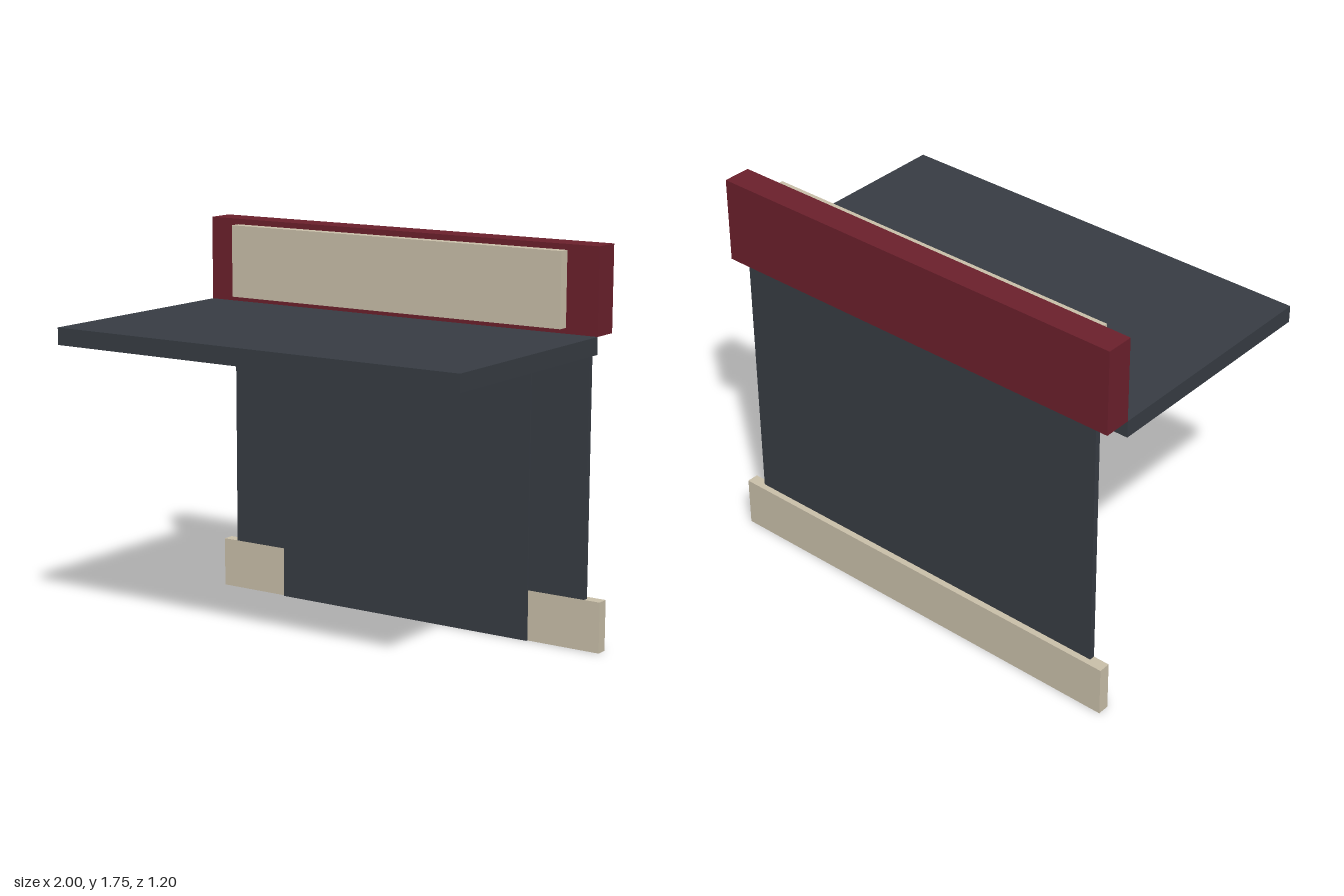
import * as THREE from 'three';

const material = (name, color) => {
  const m = new THREE.MeshStandardMaterial({ color });
  m.name = name;
  return m;
};

export function createModel() {
  const group = new THREE.Group();
  group.name = 'shopfront';

  const slate = material('dark slate', 0x373c43);
  const red = material('deep red', 0x6b202c);
  const cream = material('cream', 0xc9bfa9);

  // Box centred on x, given its half width and its y and z ranges
  const slab = (name, mat, halfWidth, y0, y1, z0, z1) => {
    const mesh = new THREE.Mesh(new THREE.BoxGeometry(halfWidth * 2, y1 - y0, z1 - z0), mat);
    mesh.position.set(0, (y0 + y1) / 2, (z0 + z1) / 2);
    mesh.name = name;
    group.add(mesh);
  };

  // Wall, its base board and the shutter in front
  slab('backWall', slate, 0.925, 0.225, 1.375, -0.572, -0.547);
  slab('baseBoard', cream, 1, 0, 0.225, -0.6, -0.547);
  slab('shutter', slate, 0.65, 0, 1.25, -0.547, -0.538);

  // Flat canopy
  slab('canopy', slate, 1, 1.3, 1.375, -0.475, 0.6);

  // Fascia with its blank sign panel
  slab('fascia', red, 1, 1.375, 1.75, -0.6, -0.475);
  slab('signPanel', cream, 0.85, 1.4, 1.725, -0.475, -0.425);

  return group;
}
